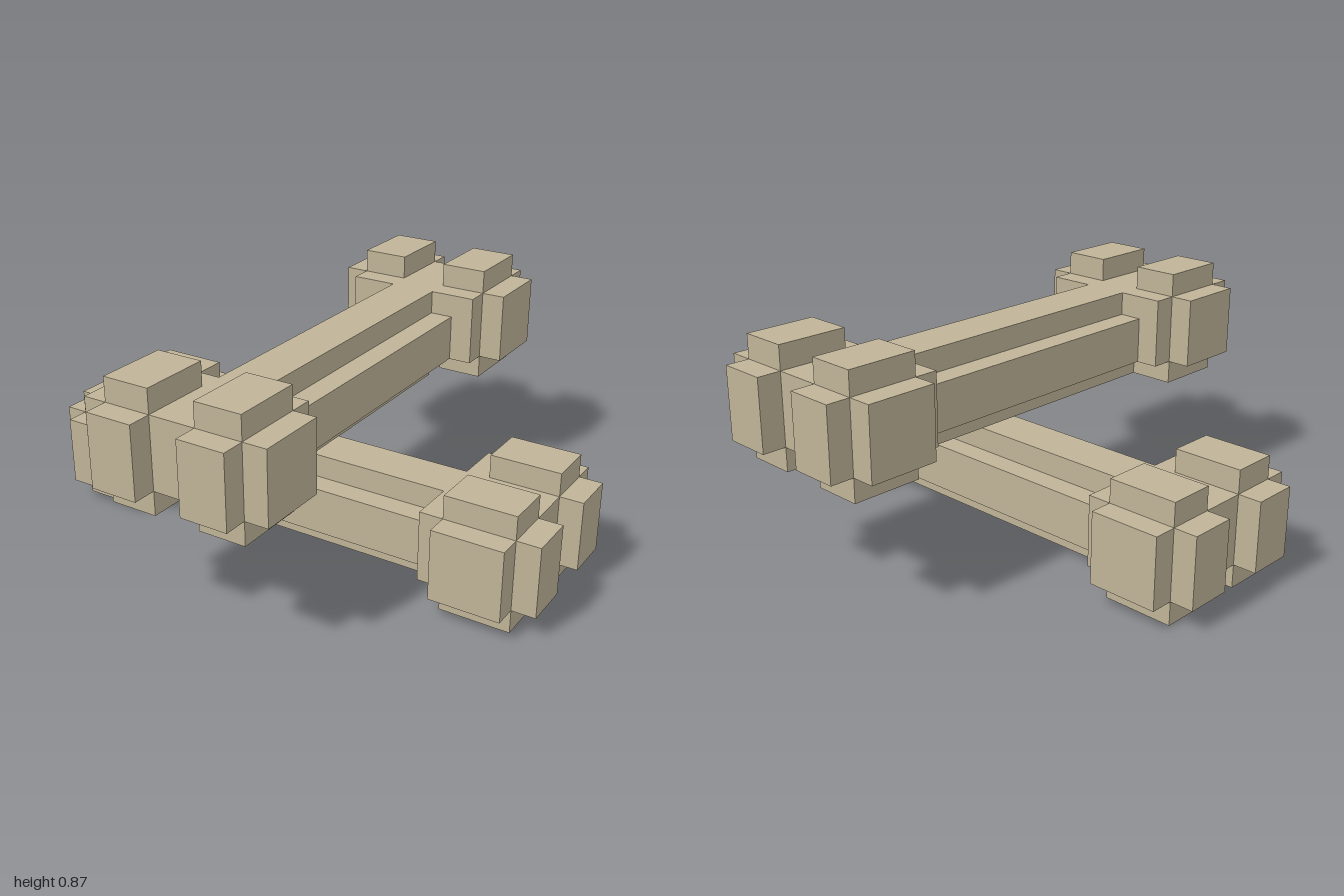
import * as THREE from 'three';

const U = 1 / 11.5; // one block

export function createModel() {
  const model = new THREE.Group();
  model.name = 'crossedBones';
  const boneMaterial = new THREE.MeshStandardMaterial({ color: 0xc0b498 });
  boneMaterial.name = 'bone';

  // A bone lies along x, or along z when swapped
  function makeBone(name, baseY, swapped) {
    const bone = new THREE.Group();
    bone.name = name;
    bone.position.y = baseY * U;

    // Box from its limits in blocks: along the bone, upwards, across the bone
    const block = (part, [a0, a1], [y0, y1], [c0, c1]) => {
      const length = (a1 - a0) * U, height = (y1 - y0) * U, width = (c1 - c0) * U;
      const along = ((a0 + a1) / 2) * U, across = ((c0 + c1) / 2) * U;
      const mesh = new THREE.Mesh(
        new THREE.BoxGeometry(swapped ? width : length, height, swapped ? length : width),
        boneMaterial
      );
      mesh.position.set(swapped ? across : along, ((y0 + y1) / 2) * U, swapped ? along : across);
      mesh.name = part;
      bone.add(mesh);
    };

    // Shaft with stepped edges
    block('shaftSides', [-6.5, 6.5], [1, 3], [-1.5, 2.5]);
    block('shaftCore', [-7.5, 7.5], [1, 4], [-0.5, 1.5]);
    block('shaftUnderside', [-6.5, 7.5], [0, 1], [-0.5, 1.5]);

    // A pair of rounded knobs at each end
    for (const s of [-1, 1]) {
      const span = (near, far) => (s > 0 ? [near, far] : [-far, -near]);
      block('knobBody', span(7.5, 10.5), [1, 4], [-3.5, 4.5]);
      for (const across of [[-2.5, -0.5], [1.5, 3.5]]) {
        block('knobUpright', span(7.5, 10.5), [0, 5], across);
        block('knobCap', span(6.5, 11.5), [1, 4], across);
      }
    }
    return bone;
  }

  model.add(makeBone('lowerBone', 0, false), makeBone('upperBone', 5, true));
  return model;
}
